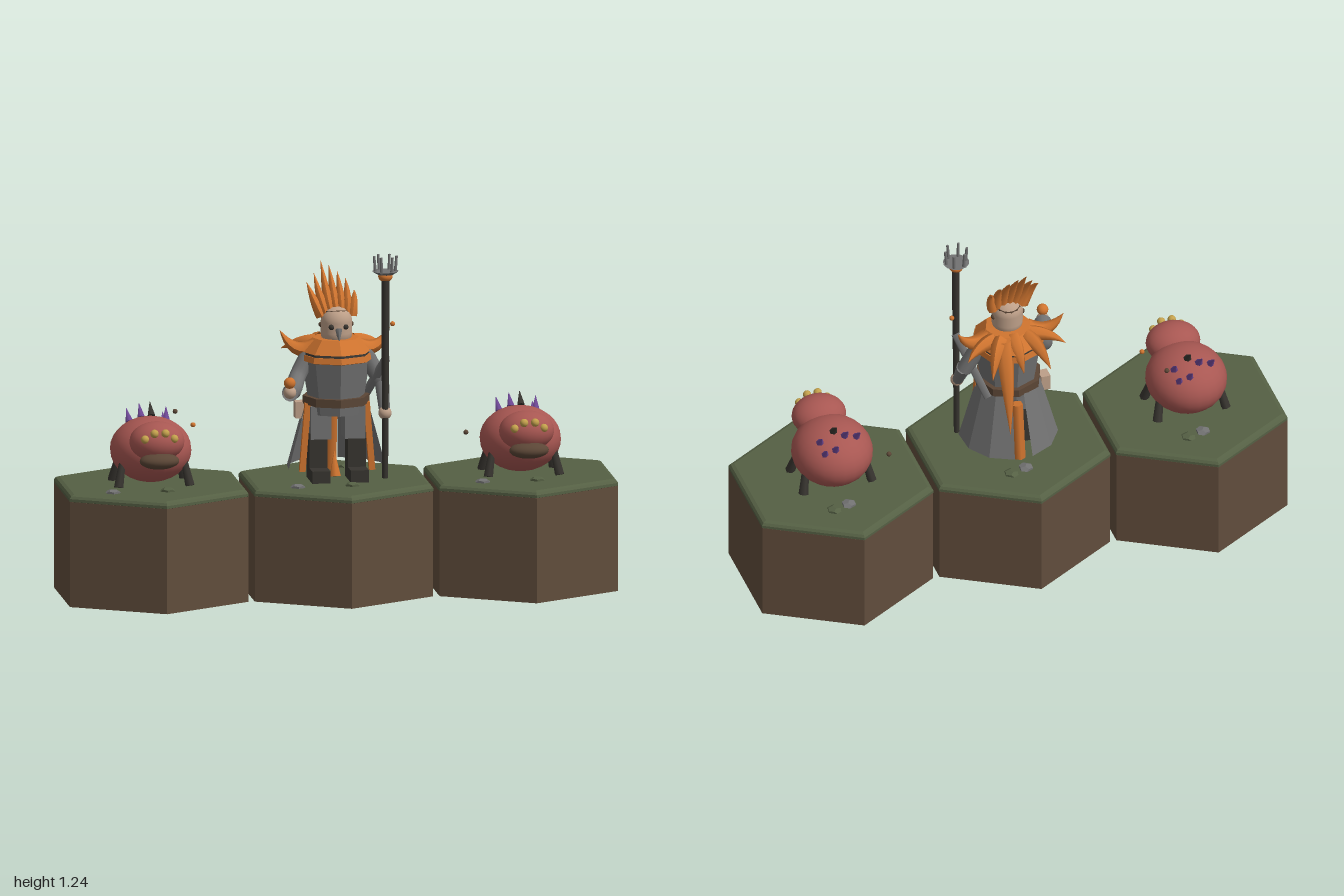
import * as THREE from 'three';

const mat = (name, color) => Object.assign(new THREE.MeshStandardMaterial({ color }), { name });
const V = (p) => new THREE.Vector3(...p);

export function createModel() {
  const soil = mat('soil', 0x614d3c), grass = mat('grass', 0x556044), hide = mat('hide', 0xa85752);
  const orange = mat('orange', 0xcf742f), grey = mat('grey', 0x727272), dark = mat('dark', 0x37342f);
  const skin = mat('skin', 0xbd9f88), leather = mat('leather', 0x5b4636);
  const purple = mat('purple', 0x6d4794), yellow = mat('yellow', 0xc2a04c);
  grey.side = THREE.DoubleSide;
  orange.side = THREE.DoubleSide;

  const root = new THREE.Group();
  let target = root;

  const add = (name, geo, m, pos = [0, 0, 0], scale = [1, 1, 1], flat = false) => {
    if (flat) {
      geo = geo.toNonIndexed();
      geo.computeVertexNormals();
    }
    const mesh = new THREE.Mesh(geo, m);
    mesh.name = name;
    mesh.position.set(...pos);
    mesh.scale.set(...scale);
    target.add(mesh);
    return mesh;
  };
  const ball = (name, m, pos, scale) => add(name, new THREE.SphereGeometry(1, 24, 16), m, pos, scale);
  const box = (name, m, pos, size) => add(name, new THREE.BoxGeometry(...size), m, pos);
  const lathe = (name, m, pts, n, start = 0, len = Math.PI * 2) =>
    add(name, new THREE.LatheGeometry(pts.map((p) => new THREE.Vector2(...p)), n, start, len), m, [0, 0, 0], [1, 1, 1], true);

  // Tapered rod from a to b
  const rod = (name, m, a, b, ra, rb, n = 10) => {
    const d = V(b).sub(V(a));
    const mesh = add(name, new THREE.CylinderGeometry(rb, ra, d.length(), n), m);
    mesh.position.copy(V(a)).addScaledVector(d, 0.5);
    mesh.quaternion.setFromUnitVectors(new THREE.Vector3(0, 1, 0), d.normalize());
    return mesh;
  };

  // Curved horn-like feather: a tube whose rings shrink toward the tip
  const feather = (name, m, a, b, c, r) => {
    const curve = new THREE.QuadraticBezierCurve3(V(a), V(b), V(c));
    const rings = 8, sides = 6;
    const geo = new THREE.TubeGeometry(curve, rings, r, sides);
    const pos = geo.attributes.position, v = new THREE.Vector3();
    for (let i = 0; i <= rings; i++) {
      const centre = curve.getPointAt(i / rings);
      const k = Math.max(0.02, 1 - (i / rings) ** 1.6);
      for (let j = 0; j <= sides; j++) {
        const id = i * (sides + 1) + j;
        v.fromBufferAttribute(pos, id).sub(centre).multiplyScalar(k).add(centre);
        pos.setXYZ(id, v.x, v.y, v.z);
      }
    }
    geo.computeVertexNormals();
    return add(name, geo, m);
  };
  const group = (name, x) => {
    target = new THREE.Group();
    target.name = name;
    target.position.x = x;
    root.add(target);
  };

  // Hexagonal ground tiles with pebbles
  [-0.673, 0, 0.673].forEach((x) => {
    group('tile', x);
    add('soilBlock', new THREE.CylinderGeometry(0.375, 0.375, 0.385, 6), soil, [0, 0.1925, 0], [1, 1, 1], true);
    lathe('grassTop', grass, [[0.36, 0.38], [0.376, 0.386], [0.376, 0.396], [0.369, 0.405], [0.355, 0.41], [0, 0.41]], 6);
    [[-0.165, 0.17, grey], [-0.005, -0.185, grey], [0.055, -0.2, grass], [0.035, 0.165, grass]].forEach(([px, pz, m], i) => {
      const p = add('pebble', new THREE.DodecahedronGeometry(0.028), m, [px, 0.412, pz], [1, 0.42, 1]);
      p.rotation.y = i;
    });
  });

  // Spiny beasts on the outer tiles
  [-0.673, 0.673].forEach((x) => {
    group('beast', x);
    ball('body', hide, [0, 0.532, -0.012], [0.147, 0.118, 0.155]);
    ball('head', hide, [0, 0.588, 0.135], [0.1, 0.072, 0.085]);
    ball('muzzle', leather, [0, 0.527, 0.195], [0.072, 0.03, 0.046]);
    [-1, 1].forEach((s) => {
      ball('innerEye', yellow, [s * 0.02, 0.63, 0.208], [0.015, 0.015, 0.015]);
      ball('outerEye', yellow, [s * 0.053, 0.608, 0.2], [0.015, 0.015, 0.015]);
      rod('frontLeg', dark, [s * 0.13, 0.41, 0.075], [s * 0.11, 0.51, 0.045], 0.018, 0.012, 6);
      rod('rearLeg', dark, [s * 0.13, 0.41, -0.075], [s * 0.11, 0.51, -0.045], 0.018, 0.012, 6);
    });
    [[-0.068, 0.62, -0.075], [0.008, 0.645, -0.05], [0.065, 0.622, -0.07], [0.022, 0.61, -0.115], [0.06, 0.595, -0.11], [-0.025, 0.635, -0.075]]
      .forEach((p, i) => rod('spine', i === 1 ? dark : purple, p, [p[0] * 1.08, p[1] + 0.045, p[2] - 0.038], 0.015, 0.001, 6));
  });

  // Loose drifting motes
  target = root;
  [[-0.57, 0.65, -0.1, leather], [-0.53, 0.63, 0.06, orange], [0.49, 0.54, -0.11, leather], [0.2, 0.975, 0.04, orange]]
    .forEach(([x, y, z, m]) => ball('mote', m, [x, y, z], [0.009, 0.009, 0.009]));

  // Standing shaman: legs, boots and coat
  group('shaman', 0);
  [-1, 1].forEach((s) => {
    box('boot', dark, [s * 0.07, 0.495, 0.005], [0.066, 0.17, 0.075]);
    box('bootToe', dark, [s * 0.07, 0.432, 0.06], [0.066, 0.045, 0.1]);
    box('thigh', grey, [s * 0.062, 0.62, 0.005], [0.075, 0.12, 0.09]);
    // Coat skirt panels around the sides and back
    const len = Math.PI * 0.5;
    lathe('coatSkirt', grey, [[0.18, 0.45], [0.115, 0.69]], 3, s > 0 ? Math.PI * 0.44 : Math.PI * 1.56 - len, len);
    const trim = box('coatTrim', orange, [s * 0.117, 0.565, 0.025], [0.022, 0.25, 0.02]);
    trim.rotation.z = s * 0.08;
  });
  rod('tailFeather', orange, [0, 0.64, -0.1], [0, 0.42, -0.13], 0.022, 0.022, 6);
  rod('loinFeather', orange, [0, 0.41, -0.02], [0, 0.5, -0.04], 0.022, 0.001, 6);

  // Torso, belt and collar
  lathe('torso', grey, [[0, 0.65], [0.095, 0.65], [0.105, 0.72], [0.125, 0.85], [0.08, 0.91], [0, 0.91]], 8);
  lathe('belt', leather, [[0.1, 0.685], [0.122, 0.685], [0.122, 0.715], [0.1, 0.715]], 8);
  lathe('chestBand', orange, [[0.12, 0.842], [0.137, 0.847], [0.132, 0.868], [0.115, 0.868]], 8);
  lathe('collarSeam', dark, [[0.12, 0.868], [0.128, 0.868], [0.124, 0.877], [0.11, 0.877]], 8);
  lathe('collar', orange, [[0.11, 0.877], [0.13, 0.877], [0.085, 0.925], [0, 0.93]], 8);
  box('pouch', skin, [-0.13, 0.66, -0.02], [0.035, 0.06, 0.045]);

  // Head, face and feather crest
  const head = add('head', new THREE.CapsuleGeometry(0.057, 0.04, 8, 24), skin, [0, 0.965, 0.01]);
  head.scale.y = 0.98;
  rod('beak', grey, [0, 0.962, 0.058], [0, 0.925, 0.082], 0.015, 0.002, 6);
  [-1, 1].forEach((s) => {
    ball('eye', dark, [s * 0.026, 0.972, 0.06], [0.01, 0.01, 0.01]);
    ball('earStud', leather, [s * 0.054, 0.973, 0.003], [0.01, 0.01, 0.01]);
  });
  const browBand = add('crestBand', new THREE.CylinderGeometry(0.045, 0.05, 0.018, 12), leather, [0, 1.012, 0.004]);
  browBand.rotation.x = -0.2;
  [1.12, 1.15, 1.19, 1.175, 1.155, 1.13, 1.09].forEach((y, i) => {
    const k = (i - 3) / 3;
    feather('crestFeather', orange, [k * 0.055, 1.005, 0.005], [k * 0.08 - 0.01, 1.08, 0.005],
      [k * 0.085 - 0.015, y, -0.08 + (1.19 - y) * 0.5], 0.022);
  });

  // Shoulder and cape feathers
  [-1, 1].forEach((s) => {
    feather('shoulderFeather', orange, [s * 0.07, 0.895, 0], [s * 0.15, 0.85, -0.01], [s * 0.2, 0.95, -0.03], 0.034);
    feather('shoulderFeather', orange, [s * 0.07, 0.9, -0.04], [s * 0.14, 0.9, -0.06], [s * 0.185, 0.87, -0.1], 0.03);
    feather('capeFeather', orange, [s * 0.05, 0.905, -0.06], [s * 0.08, 0.9, -0.1], [s * 0.11, 0.81, -0.155], 0.03);
  });
  feather('backFeather', orange, [0, 0.905, -0.06], [0, 0.9, -0.12], [-0.01, 0.81, -0.15], 0.03);
  feather('longFeather', orange, [0.04, 0.9, -0.07], [0.05, 0.8, -0.15], [0.06, 0.59, -0.205], 0.033);

  // Right arm, reaching forward with a charm
  const reach = new THREE.CatmullRomCurve3([[-0.1, 0.865, 0], [-0.145, 0.79, 0.03], [-0.17, 0.757, 0.1], [-0.195, 0.76, 0.185]].map(V));
  add('rightSleeve', new THREE.TubeGeometry(reach, 16, 0.031, 12), grey);
  ball('rightHand', skin, [-0.198, 0.764, 0.195], [0.023, 0.023, 0.023]);
  ball('charm', orange, [-0.2, 0.8, 0.202], [0.021, 0.021, 0.021]);

  // Left arm and slung blade
  rod('leftUpperSleeve', grey, [0.1, 0.87, 0], [0.165, 0.755, 0.01], 0.032, 0.028);
  rod('leftForearm', grey, [0.165, 0.765, 0.01], [0.165, 0.665, 0.075], 0.027, 0.02);
  ball('leftHand', skin, [0.165, 0.658, 0.085], [0.024, 0.024, 0.024]);
  rod('slungBlade', grey, [0.17, 0.86, 0.09], [0.1, 0.67, -0.07], 0.017, 0.017, 4);

  // Staff with a crown of prongs
  const sx = 0.165, sz = 0.095;
  rod('staffPole', dark, [sx, 0.42, 0.088], [sx, 1.16, 0.1], 0.011, 0.015, 8);
  ball('staffGem', orange, [sx, 1.16, sz], [0.026, 0.02, 0.026]);
  add('staffDish', new THREE.CylinderGeometry(0.048, 0.03, 0.012, 12), grey, [sx, 1.174, sz]);
  for (let i = 0; i < 6; i++) {
    const a = (i / 6) * Math.PI * 2, c = Math.cos(a), s = Math.sin(a);
    rod('staffProng', grey, [sx + c * 0.036, 1.175, sz + s * 0.036], [sx + c * 0.041, 1.235, sz + s * 0.041], 0.006, 0.005, 6);
  }
  return root;
}
